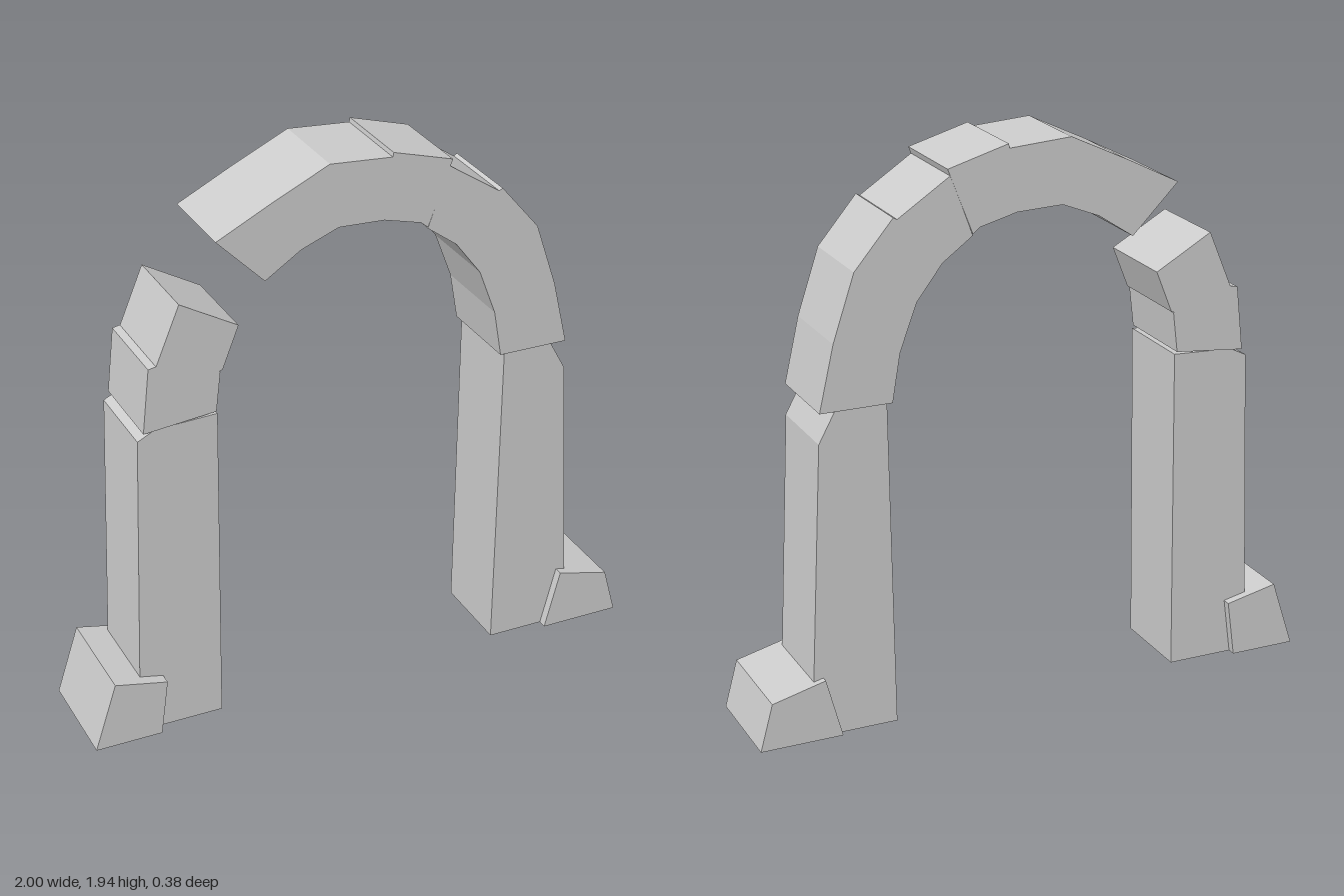
import * as THREE from 'three';

const material = new THREE.MeshStandardMaterial({ color: 0xcccccc, flatShading: true });

// A stone: an outline in the front plane, cut to a depth from zBack to zFront
function stone(name, outline, zBack, zFront) {
  const shape = new THREE.Shape(outline.map(([x, y]) => new THREE.Vector2(x, y)));
  const geometry = new THREE.ExtrudeGeometry(shape, { depth: zFront - zBack, bevelEnabled: false });
  geometry.translate(0, 0, zBack);
  const mesh = new THREE.Mesh(geometry, material);
  mesh.name = name;
  return mesh;
}

export function createModel() {
  const group = new THREE.Group();
  group.name = 'ruinedArch';

  group.add(
    // Tapered pillars
    stone('rightPillar', [[-0.828, 0], [-0.53, 0], [-0.515, 1.15], [-0.73, 1.14], [-0.79, 1.11]], -0.16, 0.148),
    stone('leftPillar', [[0.51, 0], [0.812, 0], [0.76, 1.03], [0.7, 1.14], [0.525, 1.14]], -0.16, 0.148),

    // Sloped buttress blocks at the feet
    stone('rightButtress', [[-1, 0], [-0.765, 0], [-0.738, 0.2], [-0.922, 0.24]], -0.19, 0.19),
    stone('leftButtress', [[0.712, 0], [1, 0], [0.955, 0.165], [0.768, 0.212]], -0.183, 0.18),

    // Broken springing stones on the right
    stone('rightLowerStone', [[-0.77, 1.135], [-0.52, 1.16], [-0.503, 1.3], [-0.72, 1.365], [-0.745, 1.36]], -0.168, 0.152),
    stone('rightUpperStone', [[-0.72, 1.36], [-0.51, 1.3], [-0.495, 1.305], [-0.437, 1.45], [-0.635, 1.563]], -0.168, 0.152),

    // Crown, broken off at its right end
    stone('crown', [
      [-0.508, 1.75], [-0.345, 1.585], [-0.22, 1.668], [-0.09, 1.72], [0.07, 1.714], [0.2, 1.68],
      [0.225, 1.66], [0.31, 1.88], [0.1, 1.94], [0.097, 1.925], [-0.12, 1.94], [-0.32, 1.845],
    ], -0.168, 0.154),

    // Unbroken haunch on the left
    stone('leftHaunch', [
      [0.225, 1.655], [0.33, 1.578], [0.42, 1.46], [0.48, 1.3], [0.508, 1.135], [0.757, 1.135],
      [0.705, 1.36], [0.63, 1.585], [0.495, 1.745], [0.482, 1.738], [0.3, 1.858],
    ], -0.167, 0.153),
  );
  return group;
}
